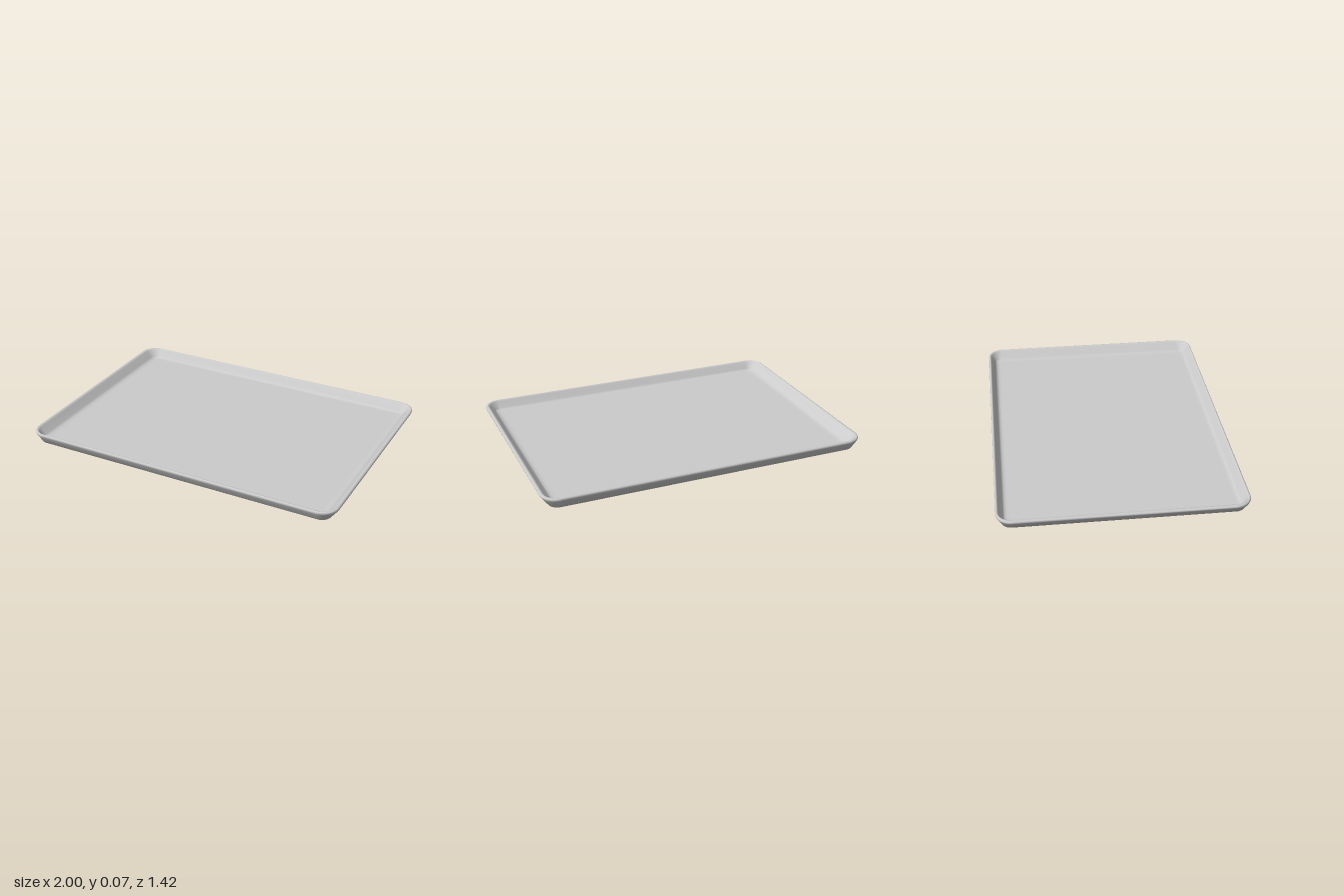
import * as THREE from 'three';

const HALF_X = 1, HALF_Z = 0.712, RADIUS = 0.1, CORNER_STEPS = 10;

// Rounded rectangle outline at height y, inset from the rim (slightly less in depth)
function ring(inset, y) {
  const r = Math.max(RADIUS - inset, 0.025);
  const cx = HALF_X - inset - r, cz = HALF_Z - inset * 0.72 - r;
  const points = [];
  for (const [sx, sz, start] of [[1, 1, 0], [-1, 1, 1], [-1, -1, 2], [1, -1, 3]]) {
    for (let k = 0; k <= CORNER_STEPS; k++) {
      const a = (start + k / CORNER_STEPS) * Math.PI / 2;
      points.push([sx * cx + r * Math.cos(a), y, sz * cz + r * Math.sin(a)]);
    }
  }
  return points;
}

// Skin a stack of rings and close both ends with a centre point
function skin(rings) {
  const n = rings[0].length, positions = rings.flat(2), index = [];
  for (let i = 0; i < rings.length - 1; i++) {
    for (let j = 0; j < n; j++) {
      const a = i * n + j, b = i * n + (j + 1) % n;
      index.push(a, a + n, b + n, a, b + n, b);
    }
  }
  const last = (rings.length - 1) * n, under = rings.length * n, over = under + 1;
  positions.push(0, rings[0][0][1], 0, 0, rings.at(-1)[0][1], 0);
  for (let j = 0; j < n; j++) {
    const k = (j + 1) % n;
    index.push(under, j, k, over, last + k, last + j);
  }
  const geometry = new THREE.BufferGeometry();
  geometry.setAttribute('position', new THREE.Float32BufferAttribute(positions, 3));
  geometry.setIndex(index);
  geometry.computeVertexNormals();
  return geometry;
}

export function createModel() {
  const group = new THREE.Group();
  group.name = 'servingTray';

  // Cross-section as [inset, height]: underside, flared wall, rolled lip, inner slope, floor
  const profile = [
    [0.06, 0], [0.043, 0.001], [0.008, 0.046], [0.002, 0.054], [0, 0.061],
    [0.003, 0.067], [0.01, 0.07], [0.018, 0.069], [0.026, 0.063],
    [0.06, 0.026], [0.072, 0.018], [0.09, 0.015], [0.11, 0.015],
  ];
  const tray = new THREE.Mesh(
    skin(profile.map(([inset, y]) => ring(inset, y))),
    new THREE.MeshStandardMaterial({ color: 0xcccccc }),
  );
  tray.name = 'tray';
  group.add(tray);
  return group;
}
